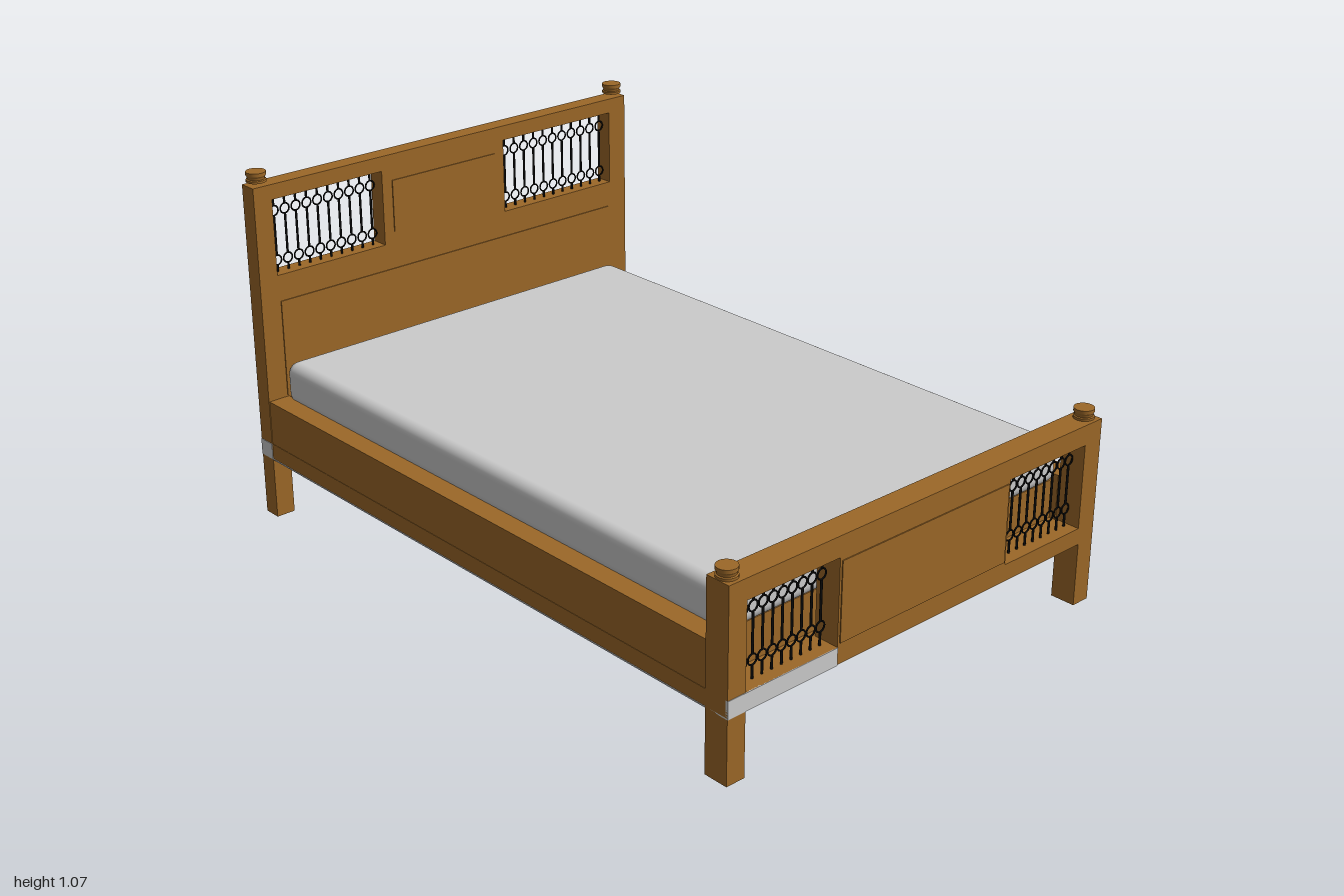
import * as THREE from 'three';
import { RoundedBoxGeometry } from 'three/addons/geometries/RoundedBoxGeometry.js';

const wood = new THREE.MeshStandardMaterial({ color: 0x9c6828 });
const grey = new THREE.MeshStandardMaterial({ color: 0xcccccc });
const iron = new THREE.MeshStandardMaterial({ color: 0x0a0a0a });

export function createModel() {
  const bed = new THREE.Group();
  bed.name = 'bed';

  function add(name, geometry, material, parent = bed) {
    const mesh = new THREE.Mesh(geometry, material);
    mesh.name = name;
    parent.add(mesh);
    return mesh;
  }

  // Box given by its lower and upper limits on each axis
  function box(name, [x0, x1], [y0, y1], [z0, z1], material = wood, parent = bed) {
    const mesh = add(name, new THREE.BoxGeometry(x1 - x0, y1 - y0, z1 - z0), material, parent);
    mesh.position.set((x0 + x1) / 2, (y0 + y1) / 2, (z0 + z1) / 2);
    return mesh;
  }

  // Board with legs in one piece, cut by rectangular openings
  function endBoard(name, top, z0, z1, openings) {
    const outline = [[-0.695, 0], [-0.635, 0], [-0.635, 0.19], [0.635, 0.19],
      [0.635, 0], [0.695, 0], [0.695, top], [-0.695, top]];
    const shape = new THREE.Shape(outline.map(([x, y]) => new THREE.Vector2(x, y)));
    for (const [x0, x1, y0, y1] of openings) {
      const corners = [[x0, y0], [x0, y1], [x1, y1], [x1, y0]];
      shape.holes.push(new THREE.Path(corners.map(([x, y]) => new THREE.Vector2(x, y))));
    }
    const geometry = new THREE.ExtrudeGeometry(shape, { depth: z1 - z0, bevelEnabled: false });
    add(name, geometry, wood).position.z = z0;
  }

  // Row of thin bars, each broken by two open rings
  function grille(name, x0, x1, count, bottom, top, ringHeights, z) {
    const group = new THREE.Group();
    group.name = name;
    bed.add(group);
    const r = 0.015;
    const [low, high] = ringHeights;
    const spans = [[bottom, low - r], [low + r, high - r], [high + r, top]];
    const ringGeometry = new THREE.TorusGeometry(r, 0.0025, 6, 20);
    for (let i = 0; i < count; i++) {
      const x = x0 + (x1 - x0) * i / (count - 1);
      for (const [a, b] of spans) {
        const bar = add('grilleBar', new THREE.CylinderGeometry(0.0035, 0.0035, b - a, 8), iron, group);
        bar.position.set(x, (a + b) / 2, z);
      }
      for (const y of ringHeights) add('grilleRing', ringGeometry, iron, group).position.set(x, y, z);
    }
  }

  // Headboard with two windows and a low slot
  endBoard('headboard', 1.03, -0.998, -0.942, [
    [-0.635, -0.255, 0.755, 0.985], [0.2, 0.63, 0.755, 0.985], [-0.63, 0.63, 0.245, 0.36],
  ]);
  box('headboardCentrePanel', [-0.22, 0.165], [0.79, 0.95], [-1, -0.939]);
  box('headboardLowerPanel', [-0.63, 0.62], [0.38, 0.675], [-0.96, -0.939]);
  grille('headboardGrilleRight', -0.615, -0.28, 10, 0.755, 0.985, [0.79, 0.94], -0.97);
  grille('headboardGrilleLeft', 0.225, 0.61, 11, 0.755, 0.985, [0.79, 0.94], -0.97);

  // Footboard with two windows
  endBoard('footboard', 0.55, 0.92, 0.997, [
    [-0.635, -0.32, 0.24, 0.49], [0.32, 0.63, 0.24, 0.49],
  ]);
  box('footboardCentrePanel', [-0.313, 0.313], [0.25, 0.48], [0.96, 1]);
  for (const [name, side] of [['footboardGrilleLeft', 1], ['footboardGrilleRight', -1]]) {
    grille(name, side * 0.345, side * 0.612, 9, 0.24, 0.49, [0.293, 0.44], 0.96);
  }

  // Post caps, those of the headboard standing just clear of the posts
  const capProfile = [[0, 0], [0.029, 0], [0.029, 0.007], [0.025, 0.009], [0.026, 0.015],
    [0.029, 0.02], [0.029, 0.03], [0, 0.03]].map(([x, y]) => new THREE.Vector2(x, y));
  // Repeated profile points keep the edges of the cap sharp
  const capGeometry = new THREE.LatheGeometry(capProfile.flatMap((p) => [p, p.clone()]), 24);
  for (const x of [-0.665, 0.665]) {
    add('headPostCap', capGeometry, wood).position.set(x, 1.04, -0.97);
    add('footPostCap', capGeometry, wood).position.set(x, 0.55, 0.958);
  }

  // Base and side rails
  box('baseBoard', [-0.694, 0.694], [0.19, 0.24], [-0.945, 0.925]);
  box('mattressSupport', [-0.63, 0.63], [0.24, 0.357], [-0.9, 0.9]);
  for (const side of [-1, 1]) {
    const rail = box('sideRail', [-0.034, 0.034], [0.235, 0.375], [-0.942, 0.92]);
    rail.position.x = side * 0.659;
  }

  // Grey facings on the left rail, the right part of the base and the foot end
  box('railFacing', [0.69, 0.695], [0.24, 0.373], [-0.942, 0.92], grey);
  box('baseUnderside', [-0.695, -0.32], [0.188, 0.192], [-0.998, 0.998], grey);
  box('footFacing', [-0.695, -0.32], [0.19, 0.24], [0.99, 0.999], grey);
  box('headEndFacing', [-0.6965, -0.69], [0.19, 0.24], [-0.998, -0.942], grey);

  // Mattress with softened edges
  const mattress = add('mattress', new RoundedBoxGeometry(1.26, 0.13, 1.86, 5, 0.035), grey);
  mattress.position.set(-0.005, 0.421, -0.011);

  return bed;
}
